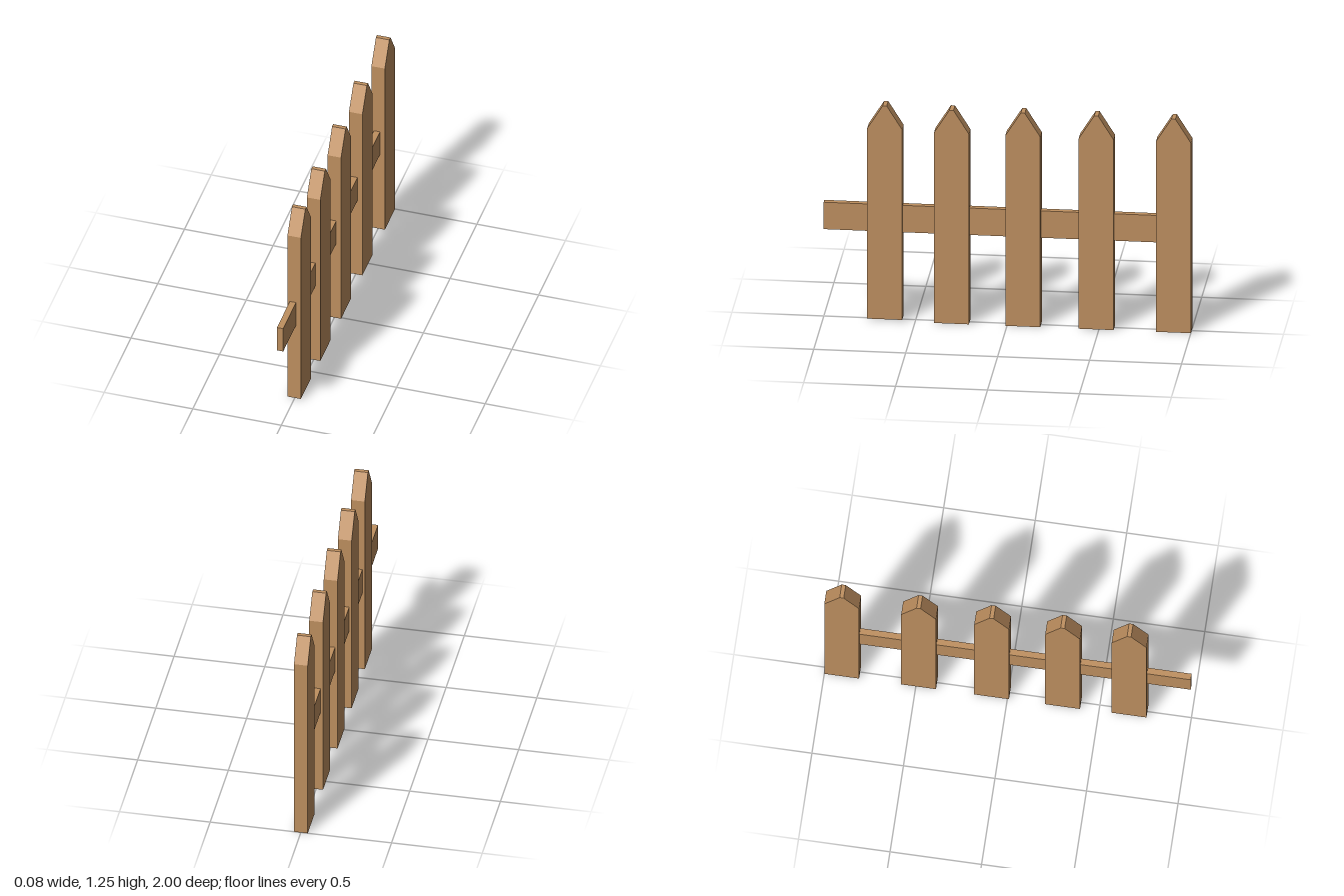
import * as THREE from 'three';

export function createModel() {
  const group = new THREE.Group();
  const wood = new THREE.MeshStandardMaterial({ color: 0xbf9060 });
  wood.name = 'wood';

  // Pointed picket outline, drawn across its width and extruded through its thickness
  const half = 0.095, tip = 0.011, shoulder = 1.103, height = 1.237, thickness = 0.076;
  const outline = new THREE.Shape([
    [-half, 0], [half, 0], [half, shoulder], [tip, height], [-tip, height], [-half, shoulder],
  ].map(([x, y]) => new THREE.Vector2(x, y)));
  const picketGeometry = new THREE.ExtrudeGeometry(outline, { depth: thickness, bevelEnabled: false });
  picketGeometry.translate(0, 0, -thickness / 2);
  picketGeometry.rotateY(-Math.PI / 2);

  // Unevenly spaced pickets; the front one sits slightly higher
  [[0.665, 0.01], [0.302, 0], [-0.086, 0], [-0.485, 0], [-0.905, 0]].forEach(([z, y], i) => {
    const picket = new THREE.Mesh(picketGeometry, wood);
    picket.name = `picket${i + 1}`;
    picket.position.set(0, y, z);
    group.add(picket);
  });

  // Thin rail running through all pickets, ending inside the last one
  const railFront = 1, railBack = -0.88;
  const rail = new THREE.Mesh(new THREE.BoxGeometry(0.035, 0.156, railFront - railBack), wood);
  rail.name = 'rail';
  rail.position.set(-0.007, 0.586, (railFront + railBack) / 2);
  group.add(rail);

  return group;
}
